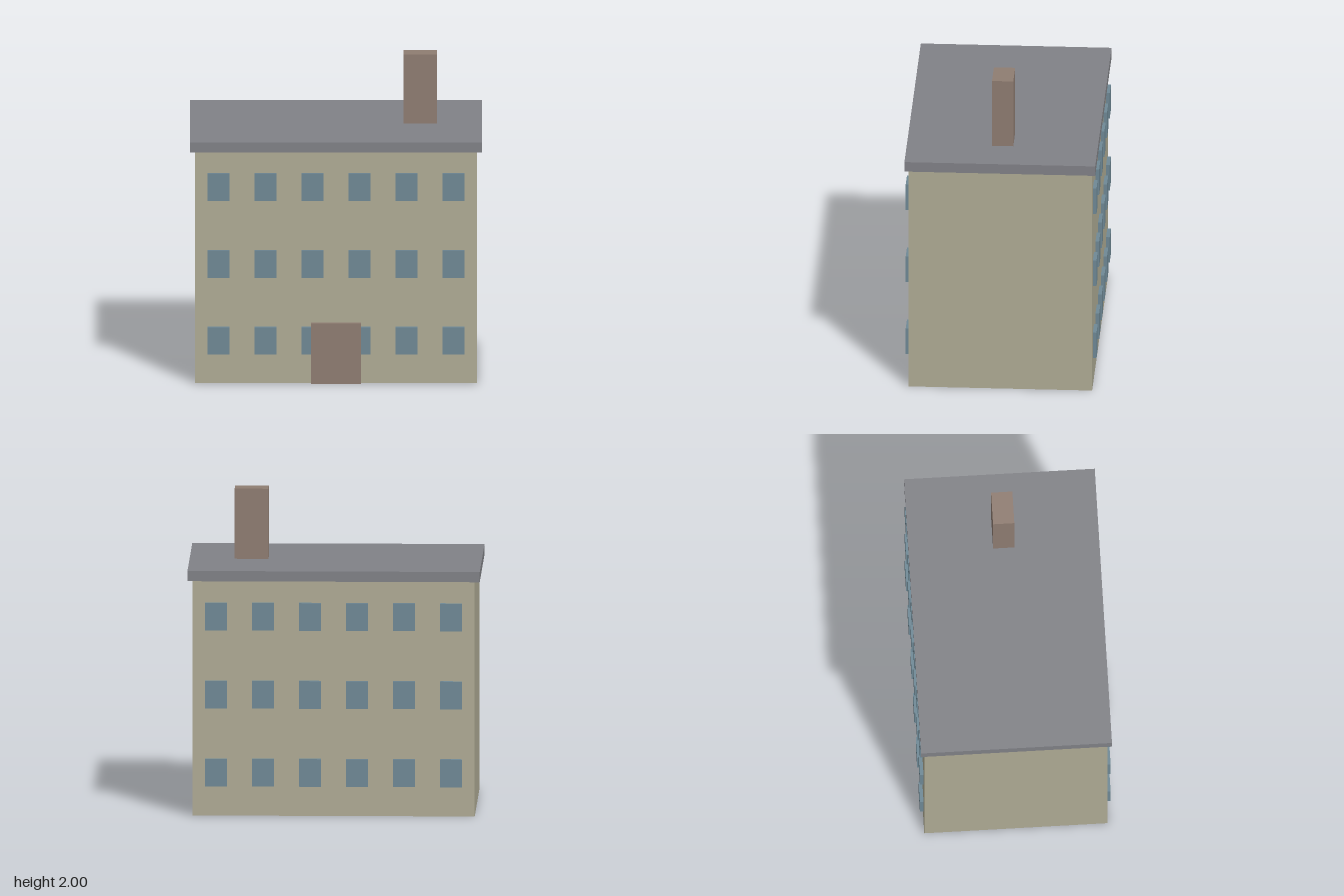
import * as THREE from 'three';

const material = (name, color) => {
  const m = new THREE.MeshStandardMaterial({ color });
  m.name = name;
  return m;
};

export function createModel() {
  const model = new THREE.Group();
  model.name = 'apartmentBlock';

  const plaster = material('plaster', 0xb0ac95);
  const slate = material('slate', 0x818287);
  const glass = material('glass', 0x6f8996);
  const brown = material('brown', 0x8f7d72);

  // Box given by its centre in x and z and its base height
  const box = (name, mat, [w, h, d], [x, y, z], parent = model) => {
    const mesh = new THREE.Mesh(new THREE.BoxGeometry(w, h, d), mat);
    mesh.name = name;
    mesh.position.set(x, y + h / 2, z);
    parent.add(mesh);
    return mesh;
  };

  const midZ = -0.006;
  const halfDepth = 0.577;

  // Main volumes
  box('walls', plaster, [1.772, 1.49, halfDepth * 2], [0, 0, midZ]);
  box('roof', slate, [1.836, 0.065, 1.2], [0, 1.49, midZ + 0.002]);
  box('chimney', brown, [0.212, 0.445, 0.134], [0.529, 1.555, midZ]);
  box('door', brown, [0.314, 0.39, 0.07], [0, 0, midZ + halfDepth]);

  // Three rows of six windows on the front and the back
  for (const side of [1, -1]) {
    const windows = new THREE.Group();
    windows.name = side > 0 ? 'frontWindows' : 'backWindows';
    model.add(windows);
    for (let row = 0; row < 3; row++) {
      for (let col = 0; col < 6; col++) {
        const x = (col - 2.5) * 0.2955;
        const y = 0.188 + row * 0.495;
        box('window', glass, [0.138, 0.175, 0.046], [x, y, midZ + side * halfDepth], windows);
      }
    }
  }

  return model;
}
